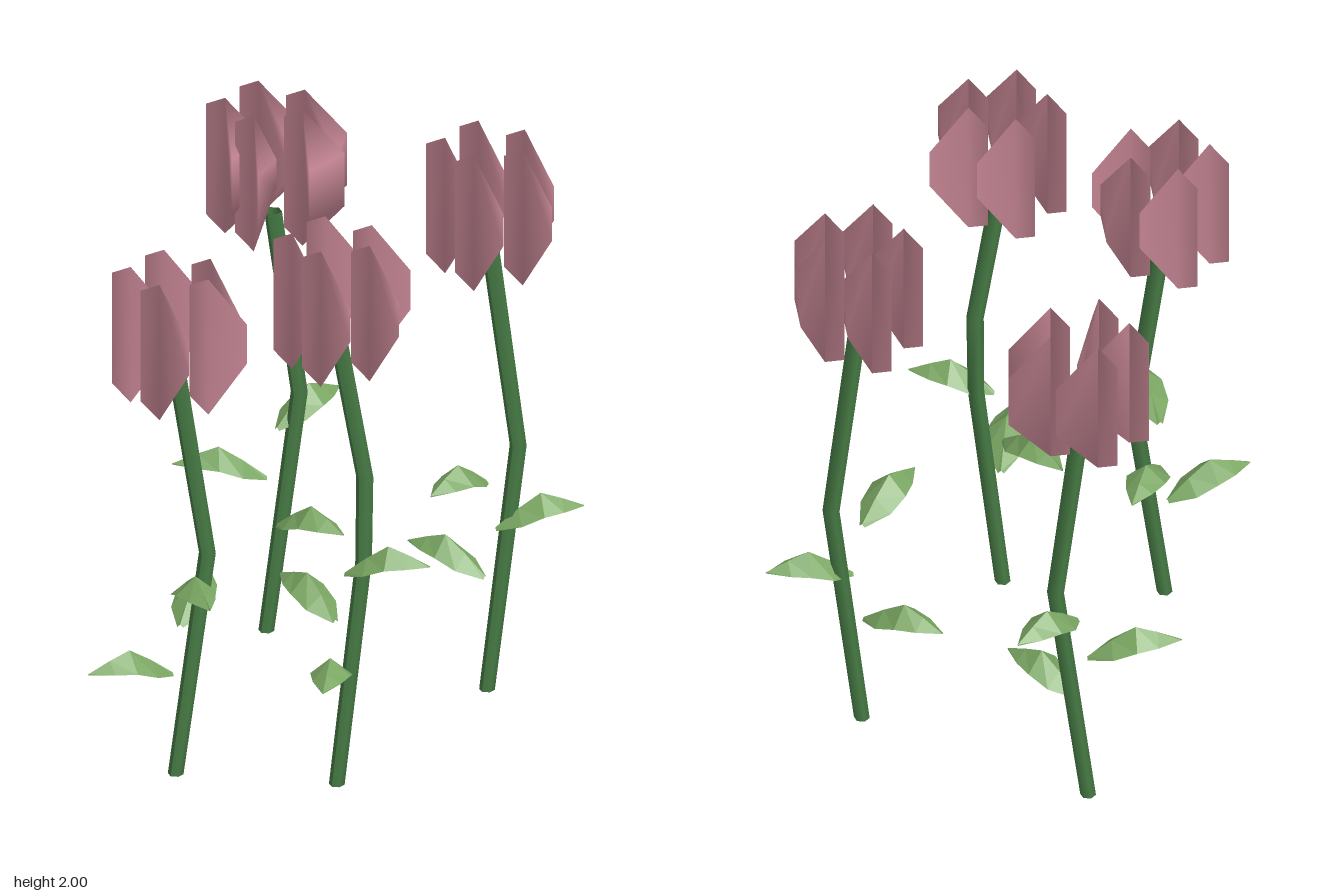
import * as THREE from 'three';

const mat = (name, color) => {
  const m = new THREE.MeshStandardMaterial({ color, side: THREE.DoubleSide });
  m.name = name;
  return m;
};

// Smooth geometry from points and polygon faces (fanned into triangles)
function fromFaces(points, faces) {
  const index = [];
  for (const f of faces) {
    for (let i = 1; i < f.length - 1; i++) index.push(f[0], f[i], f[i + 1]);
  }
  const g = new THREE.BufferGeometry();
  g.setAttribute('position', new THREE.Float32BufferAttribute(points.flat(), 3));
  g.setIndex(index);
  g.computeVertexNormals();
  return g;
}

// Petal hanging from its peak: a flat flap on the left and a fin on the right.
// A second fin b closes the right side into a wedge.
// Each fin is [x, z, upper y, lower y]
function petalGeometry(a, b) {
  const points = [
    [0, 0, 0], [0, -0.49, 0],
    [-0.08, -0.045, 0], [-0.08, -0.445, 0],
    [a[0], a[2], a[1]], [a[0], a[3], a[1]],
  ];
  const faces = [[0, 2, 3, 1], [0, 1, 5, 4]];
  if (b) {
    points.push([b[0], b[2], b[1]], [b[0], b[3], b[1]]);
    faces.push([0, 6, 7, 1], [0, 4, 6], [4, 5, 7, 6], [5, 1, 7]);
  }
  return fromFaces(points, faces);
}

// Six-sided stem whose rings follow the path from bottom to top
function stemGeometry(path) {
  const n = path.length - 1;
  const g = new THREE.CylinderGeometry(0.03, 0.026, 1, 6, n, true);
  const p = g.attributes.position;
  for (let i = 0; i < p.count; i++) {
    const c = path[Math.round((p.getY(i) + 0.5) * n)];
    p.setXYZ(i, p.getX(i) + c[0], c[1], p.getZ(i) + c[2]);
  }
  g.computeVertexNormals();
  return g;
}

// Arched, flat-shaded leaf folded along its midrib, from near the root to the tip (x, z)
function leafGeometry(root, tip) {
  const dx = tip[0] - root[0], dz = tip[1] - root[2];
  const len = Math.hypot(dx, dz), nx = -dz / len, nz = dx / len;
  // distance along, half width, midrib height, edge height
  const sections = [
    [0.06, 0.01, 0, -0.01], [0.3, 0.06, 0.06, 0.02],
    [0.54, 0.067, 0.11, 0.05], [0.76, 0.046, 0.085, 0.052], [1, 0.001, 0.052, 0.048],
  ];
  const points = [], faces = [];
  sections.forEach(([t, w, h, e], i) => {
    const x = root[0] + dx * t, z = root[2] + dz * t, y = root[1];
    points.push([x - nx * w, y + e, z - nz * w], [x, y + h, z], [x + nx * w, y + e, z + nz * w]);
    if (i) {
      const k = i * 3;
      faces.push([k - 3, k - 2, k + 1, k], [k - 2, k - 1, k + 2, k + 1]);
    }
  });
  const g = fromFaces(points, faces).toNonIndexed();
  g.computeVertexNormals();
  return g;
}

export function createModel() {
  const petalPink = mat('dusty pink', 0xc98896);
  const leafGreen = mat('leaf green', 0x7aa662);
  leafGreen.flatShading = true;
  const stemGreen = mat('stem green', 0x467a44);

  // Petal shapes, differing in how far the right side is folded
  const square = petalGeometry([0.125, 0, -0.17, -0.29], [0, -0.13, -0.23, -0.27]);
  const spread = petalGeometry([0.1, 0.085, -0.16, -0.35], [0.1, -0.095, -0.16, -0.35]);
  const narrow = petalGeometry([0.135, 0, -0.2, -0.3], [0.1, -0.095, -0.16, -0.35]);
  const sliver = petalGeometry([0.09, 0.085, -0.16, -0.35], [0, -0.117, -0.2, -0.3]);
  const flat = petalGeometry([0.09, -0.09, -0.17, -0.31]);

  // Petal peaks in each bloom, as x and z offsets from the front one
  const ring = [[0, 0], [-0.16, -0.045], [-0.16, -0.215], [0, -0.26], [0.095, -0.135]];

  // stem path, front petal peak, petals in ring order, leaves as [root height, tip x, tip z]
  const flowers = [
    {
      name: 'backLeftFlower', peak: [-0.44, 1.925, -0.34],
      petals: [sliver, spread, narrow, narrow, spread],
      path: [[-0.495, 0, -0.47], [-0.43, 0.85, -0.56], [-0.475, 1.52, -0.48]],
      leaves: [[0.395, -0.165, -0.47], [0.56, -0.72, -0.26], [0.73, -0.45, -0.79]],
    },
    {
      name: 'backRightFlower', peak: [0.4, 1.995, -0.455],
      petals: [square, square, square, square, square],
      path: [[0.345, 0, -0.588], [0.405, 0.87, -0.675], [0.36, 1.61, -0.585]],
      leaves: [[0.41, 0.04, -0.55], [0.59, 0.555, -0.83], [0.77, 0.37, -0.27]],
    },
    {
      name: 'frontLeftFlower', peak: [0.018, 1.83, 0.69],
      petals: [square, flat, flat, square, flat],
      path: [[-0.025, 0, 0.556], [0.028, 0.78, 0.458], [-0.02, 1.43, 0.55]],
      leaves: [[0.37, -0.16, 0.84], [0.53, -0.125, 0.25], [0.68, 0.25, 0.71]],
    },
    {
      name: 'frontRightFlower', peak: [0.475, 1.99, 0.415],
      petals: [square, square, flat, flat, square],
      path: [[0.43, 0, 0.28], [0.482, 0.8, 0.205], [0.482, 1.1, 0.2], [0.44, 1.6, 0.28]],
      leaves: [[0.43, 0.6, 0.555], [0.59, 0.12, 0.2], [0.77, 0.71, 0.14]],
    },
  ];

  const model = new THREE.Group();
  model.name = 'flowers';
  for (const f of flowers) {
    const flower = new THREE.Group();
    flower.name = f.name;
    const add = (name, geometry, material) => {
      const mesh = new THREE.Mesh(geometry, material);
      mesh.name = name;
      flower.add(mesh);
      return mesh;
    };
    add('stem', stemGeometry(f.path), stemGreen);
    // Leaves fan out around the upright axis under the stem's top
    const [axisX, , axisZ] = f.path.at(-1);
    for (const [y, x, z] of f.leaves) {
      add('leaf', leafGeometry([axisX, y, axisZ], [x, z]), leafGreen);
    }
    ring.forEach(([x, z], i) => {
      add('petal', f.petals[i], petalPink).position.set(f.peak[0] + x, f.peak[1], f.peak[2] + z);
    });
    model.add(flower);
  }
  return model;
}
